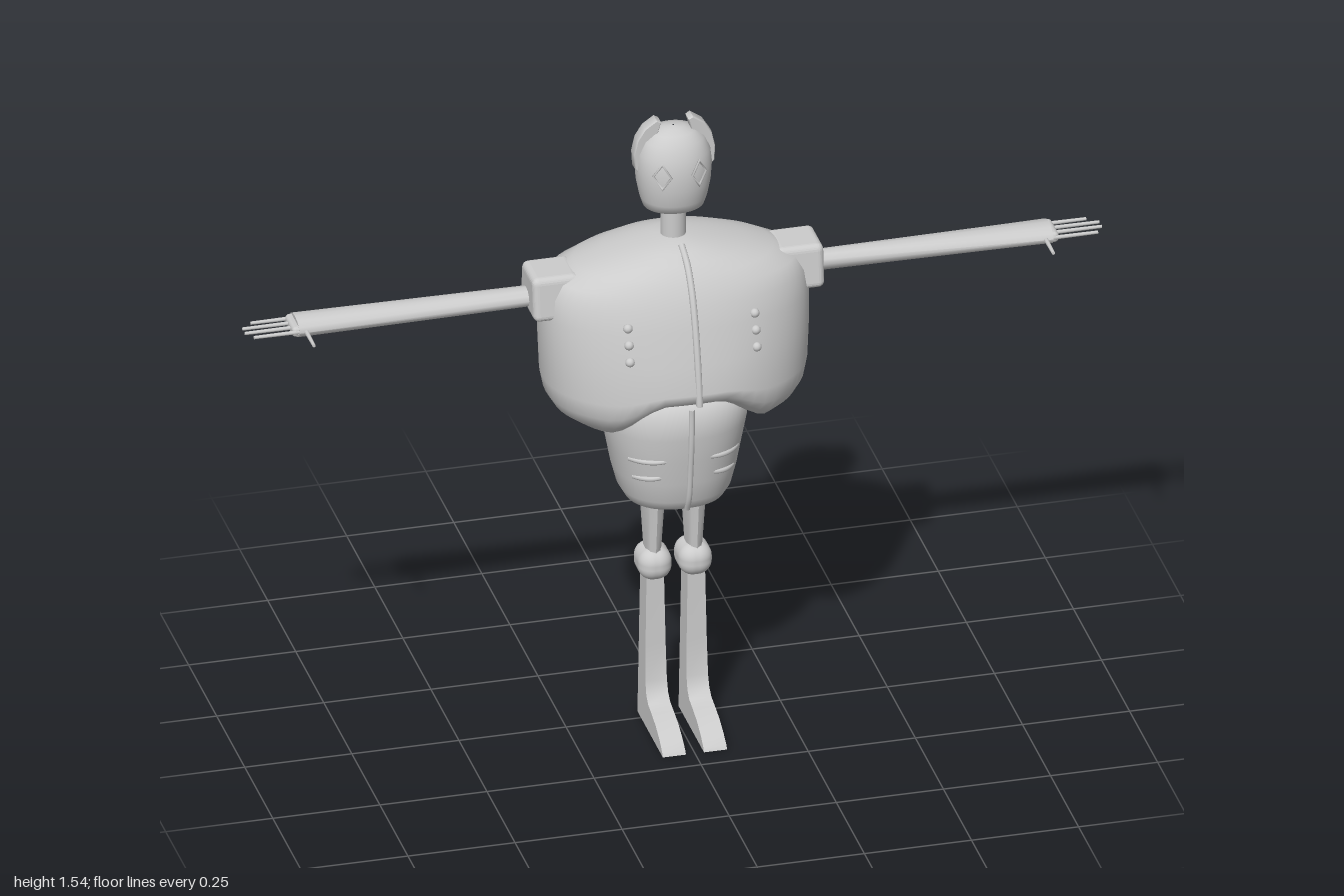
import * as THREE from 'three';
import { RoundedBoxGeometry } from 'three/addons/geometries/RoundedBoxGeometry.js';
import { toCreasedNormals } from 'three/addons/utils/BufferGeometryUtils.js';

const material = new THREE.MeshStandardMaterial({ color: 0xcccccc });

// Sections, bottom to top: [y, half width, front z, back z]
const TORSO = [
  [0.785, 0.002, 0.002, -0.002], [0.785, 0.14, 0.14, -0.13], [0.795, 0.19, 0.165, -0.17],
  [0.815, 0.245, 0.185, -0.2], [0.84, 0.28, 0.205, -0.22], [0.87, 0.298, 0.218, -0.228],
  [0.91, 0.306, 0.222, -0.227], [1.0, 0.311, 0.206, -0.21], [1.08, 0.312, 0.186, -0.195],
  [1.13, 0.305, 0.168, -0.178], [1.165, 0.285, 0.15, -0.163], [1.19, 0.23, 0.132, -0.146],
  [1.21, 0.165, 0.112, -0.122], [1.226, 0.1, 0.085, -0.09], [1.237, 0.045, 0.055, -0.055],
  [1.24, 0.002, 0.002, -0.002],
];
const HIPS = [
  [0.575, 0.002, 0.002, -0.002], [0.577, 0.095, 0.09, -0.095], [0.585, 0.115, 0.11, -0.113],
  [0.61, 0.129, 0.125, -0.126], [0.66, 0.142, 0.134, -0.135], [0.72, 0.153, 0.143, -0.147],
  [0.78, 0.165, 0.15, -0.16], [0.87, 0.17, 0.152, -0.165], [0.88, 0.002, 0.002, -0.002],
];
const HEAD = [
  [1.31, 0.002, 0.002, -0.002], [1.31, 0.055, 0.045, -0.055], [1.318, 0.07, 0.062, -0.068],
  [1.34, 0.077, 0.072, -0.074], [1.38, 0.085, 0.078, -0.078], [1.42, 0.088, 0.078, -0.078],
  [1.455, 0.084, 0.071, -0.074], [1.485, 0.071, 0.057, -0.06], [1.503, 0.05, 0.04, -0.042],
  [1.512, 0.025, 0.02, -0.02], [1.514, 0.002, 0.002, -0.002],
];

// Closed surface through oval sections
function loft(sections, power = 2, rule = null, n = 56) {
  const pos = [], index = [], e = 2 / power;
  sections.forEach(([y, w, front, back], i) => {
    for (let j = 0; j < n; j++) {
      const a = (j / n) * Math.PI * 2, c = Math.cos(a), s = Math.sin(a);
      const p = new THREE.Vector3(w * Math.sign(c) * Math.abs(c) ** e, y,
        (s > 0 ? front : -back) * Math.sign(s) * Math.abs(s) ** e);
      if (rule) rule(p);
      pos.push(p.x, p.y, p.z);
      if (i === sections.length - 1) continue;
      const k = i * n + j, r = i * n + ((j + 1) % n);
      index.push(k, k + n, r, r, k + n, r + n);
    }
  });
  const g = new THREE.BufferGeometry();
  g.setAttribute('position', new THREE.Float32BufferAttribute(pos, 3));
  g.setIndex(index);
  g.computeVertexNormals();
  return g;
}

// Front (side = 1) or back (side = -1) depth of a loft at x, y
function depth(sections, x, y, side, power = 2) {
  let i = 1;
  while (i < sections.length - 1 && sections[i + 1][0] < y) i++;
  const a = sections[i], b = sections[Math.min(i + 1, sections.length - 1)];
  const t = (y - a[0]) / (b[0] - a[0] || 1);
  const mix = (k) => a[k] + (b[k] - a[k]) * t;
  return mix(side > 0 ? 2 : 3) * (1 - Math.min(1, Math.abs(x) / mix(1)) ** power) ** (1 / power);
}

// Moves vertices by a rule and refreshes the normals
function reshape(geometry, rule) {
  const p = geometry.attributes.position, v = new THREE.Vector3();
  for (let i = 0; i < p.count; i++) {
    rule(v.fromBufferAttribute(p, i));
    p.setXYZ(i, v.x, v.y, v.z);
  }
  geometry.computeVertexNormals();
  return geometry;
}

function add(parent, name, geometry, x = 0, y = 0, z = 0) {
  const mesh = new THREE.Mesh(geometry, material);
  mesh.name = name;
  mesh.position.set(x, y, z);
  parent.add(mesh);
  return mesh;
}

// Thin raised line through [x, y, z] points
function tube(points, radius) {
  const curve = new THREE.CatmullRomCurve3(points.map((p) => new THREE.Vector3(...p)));
  return new THREE.TubeGeometry(curve, 28, radius, 8);
}

function shape(points) {
  return new THREE.Shape(points.map(([x, y]) => new THREE.Vector2(x, y)));
}

function crease(parent, name, sections, side, x0, x1, y0, y1, power) {
  const pts = [];
  for (let i = 0; i <= 8; i++) {
    const t = i / 8, x = x0 + (x1 - x0) * t, y = y0 + (y1 - y0) * t;
    const sink = 0.006 * Math.abs(2 * t - 1) ** 2;
    pts.push([x, y, depth(sections, x, y, side, power) - side * sink]);
  }
  add(parent, name, tube(pts, 0.006));
}

function addArm(root, s) {
  const arm = new THREE.Group();
  arm.name = s > 0 ? 'leftArm' : 'rightArm';
  root.add(arm);
  // Shoulder socket, narrower at the top
  add(arm, 'shoulder', reshape(new RoundedBoxGeometry(0.11, 0.105, 0.122, 3, 0.015), (v) => {
    v.z *= 1 - 0.12 * (v.y / 0.0525);
  }), s * 0.285, 1.132, -0.004);
  // Sleeve widens toward the wrist
  const sleeve = new THREE.CylinderGeometry(1, 1, 0.55, 12, 1).rotateZ(-s * Math.PI / 2);
  reshape(sleeve, (v) => {
    v.y *= 0.023;
    v.z *= 0.036 + 0.008 * ((s * v.x) / 0.275);
  });
  add(arm, 'sleeve', toCreasedNormals(sleeve, 0.9), s * 0.605, 1.114, -0.012);
  add(arm, 'hand', new RoundedBoxGeometry(0.05, 0.026, 0.078, 2, 0.01), s * 0.87, 1.114, -0.011);
  [[-0.043, 0.975], [-0.021, 1], [0.001, 1], [0.025, 0.985]].forEach(([z, tip]) => {
    const length = tip - 0.87;
    const finger = new THREE.CylinderGeometry(0.004, 0.005, length, 8).rotateZ(-s * Math.PI / 2);
    add(arm, 'finger', finger, s * (tip - length / 2), 1.115, z);
  });
  add(arm, 'thumb', new THREE.CylinderGeometry(0.004, 0.006, 0.09, 8).rotateX(Math.PI / 2),
    s * 0.863, 1.114, 0.05);
}

function addLeg(root, s) {
  const leg = new THREE.Group();
  leg.name = s > 0 ? 'leftLeg' : 'rightLeg';
  root.add(leg);
  const thigh = reshape(new THREE.CylinderGeometry(1, 1, 0.19, 10), (v) => {
    const t = (v.y + 0.095) / 0.19;
    v.x *= 0.018 + 0.011 * t;
    v.z *= 0.032 + 0.024 * t;
  });
  add(leg, 'thigh', toCreasedNormals(thigh, 0.9), s * 0.048, 0.51, -0.003);
  add(leg, 'knee', new RoundedBoxGeometry(0.078, 0.078, 0.098, 6, 0.034), s * 0.047, 0.402, -0.003);
  // Shin and foot share one side profile
  const profile = shape([[-0.032, 0], [0.195, 0], [0.19, 0.008], [0.165, 0.027], [0.13, 0.045],
    [0.09, 0.057], [0.06, 0.064], [0.042, 0.08], [0.032, 0.11], [0.027, 0.2], [0.024, 0.385], [-0.032, 0.385]]);
  const boot = new THREE.ExtrudeGeometry(profile, { depth: 0.054, bevelEnabled: false });
  boot.translate(0, 0, -0.027).rotateY(-Math.PI / 2);
  reshape(boot, (v) => { v.x *= 1 - 0.25 * Math.min(1, v.y / 0.385); });
  add(leg, 'shinAndFoot', toCreasedNormals(boot, 0.6), s * 0.048, 0, 0);
}

export function createModel() {
  const root = new THREE.Group();
  root.name = 'figure';

  // Wide upper body, its hem arched at the front
  const arch = (p) => {
    if (p.z <= 0 || p.y > 0.95) return;
    const middle = 1 - THREE.MathUtils.smoothstep(Math.abs(p.x), 0.06, 0.19);
    p.y += 0.085 * middle * Math.min(1, p.z / 0.1) * Math.min(1, (0.95 - p.y) / 0.15);
  };
  add(root, 'torso', loft(TORSO, 2.15, arch));
  add(root, 'hips', loft(HIPS, 2.3));

  // Front seam over both parts
  const seam = (sections, ys) => ys.map((y) => [0.004, y, depth(sections, 0, y, 1)]);
  add(root, 'torsoSeam', tube(seam(TORSO, [1.235, 1.21, 1.165, 1.1, 1.0, 0.92, 0.905]), 0.008));
  add(root, 'hipSeam', tube(seam(HIPS, [0.86, 0.78, 0.7, 0.62, 0.585]), 0.007));

  for (const s of [1, -1]) {
    // Rows of buttons on the chest
    for (const y of [1.095, 1.057, 1.018]) {
      add(root, 'button', new THREE.SphereGeometry(0.011, 12, 8), s * 0.148, y,
        depth(TORSO, 0.148, y, 1, 2.15));
    }
    // Cloth creases on the hips and back
    crease(root, 'hipCrease', HIPS, 1, s * 0.05, s * 0.125, 0.725, 0.72, 2.3);
    crease(root, 'hipCrease', HIPS, 1, s * 0.06, s * 0.115, 0.68, 0.672, 2.3);
    crease(root, 'hipCrease', HIPS, -1, s * 0.03, s * 0.12, 0.7, 0.71, 2.3);
    crease(root, 'backCrease', TORSO, -1, s * 0.06, s * 0.2, 1.0, 1.03, 2.15);
    crease(root, 'backCrease', TORSO, -1, s * 0.05, s * 0.14, 1.07, 1.08, 2.15);
    addArm(root, s);
    addLeg(root, s);
  }
  crease(root, 'backCrease', TORSO, -1, -0.14, 0.14, 0.97, 0.95, 2.15);

  // Neck and head
  add(root, 'neck', new THREE.CylinderGeometry(0.029, 0.029, 0.11, 24), 0, 1.272, 0);
  add(root, 'head', loft(HEAD, 2.1));
  for (const s of [1, -1]) {
    // Curved ear fin rising from the side of the head
    const fin = shape([[0.075, 1.4], [0.091, 1.42], [0.093, 1.455], [0.085, 1.49], [0.068, 1.517],
      [0.042, 1.535], [0.034, 1.53], [0.042, 1.5], [0.06, 1.46]].map(([x, y]) => [s * x, y]));
    const ear = new THREE.ExtrudeGeometry(fin, {
      depth: 0.02, bevelEnabled: true, bevelSize: 0.002, bevelThickness: 0.006, bevelSegments: 2,
    });
    add(root, 'ear', toCreasedNormals(ear, 0.7), 0, 0, -0.01);
    // Diamond-shaped eye rim
    const eye = add(root, 'eye', new THREE.TorusGeometry(0.021, 0.003, 6, 4),
      s * 0.043, 1.42, depth(HEAD, 0.043, 1.42, 1, 2.1));
    eye.scale.y = 1.5;
    eye.rotation.y = s * 0.5;
  }
  return root;
}
